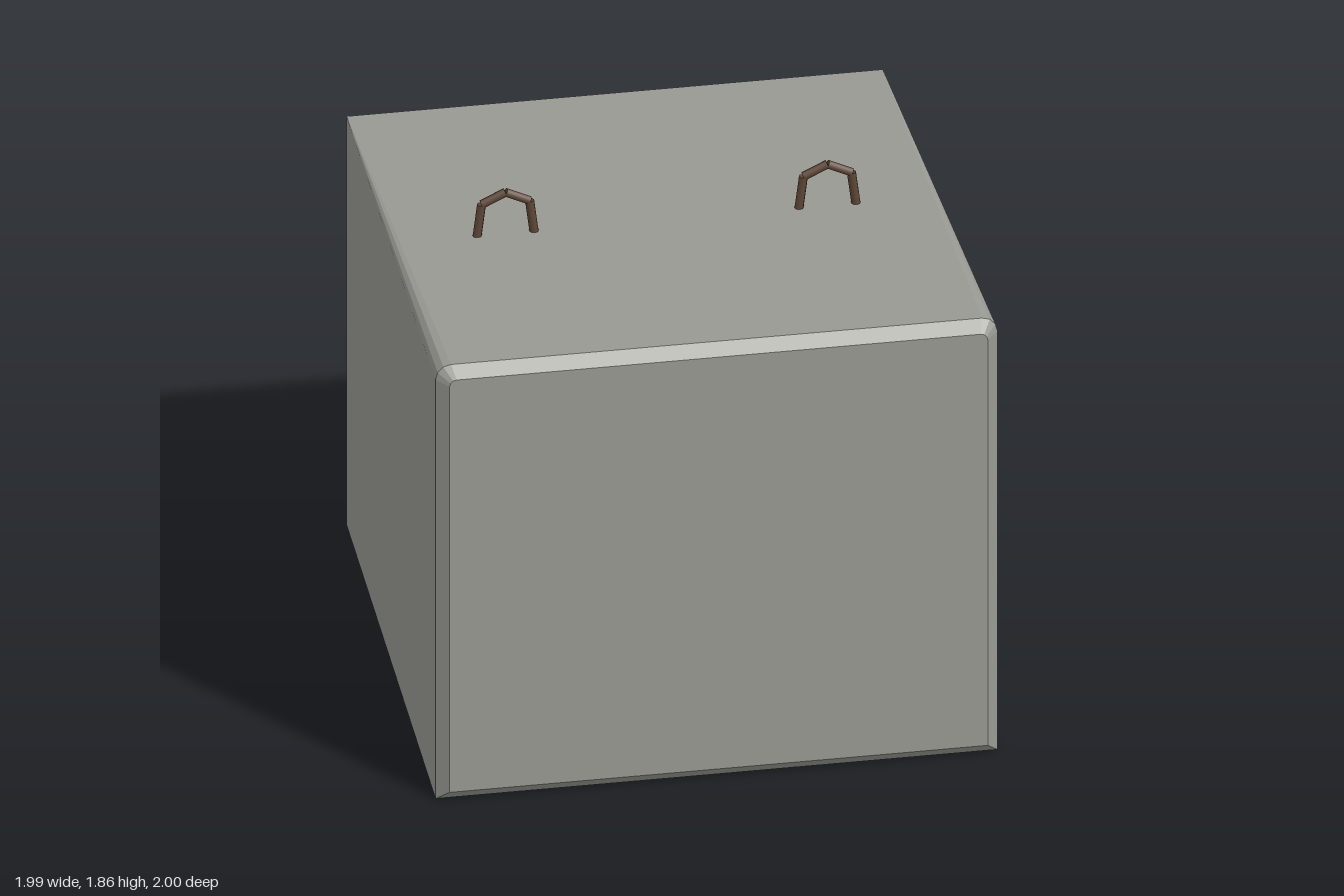
import * as THREE from 'three';

const material = (color, flatShading = false) => new THREE.MeshStandardMaterial({ color, flatShading });

// Cross-section with square bottom corners and rounded top corners, anticlockwise from the front
function section(halfWidth, bottom, top, radius, z) {
  const ring = [[-halfWidth, bottom, z], [halfWidth, bottom, z]];
  for (const [side, start] of [[1, 0], [-1, Math.PI / 2]]) {
    for (let i = 0; i <= 3; i++) {
      const a = start + (i / 3) * Math.PI / 2;
      ring.push([side * (halfWidth - radius) + radius * Math.cos(a), top - radius + radius * Math.sin(a), z]);
    }
  }
  return ring;
}

// Skin consecutive cross-sections and cap both ends
function loft(rings) {
  const positions = [];
  const tri = (a, b, c) => positions.push(...a, ...b, ...c);
  const n = rings[0].length;
  for (let r = 0; r < rings.length - 1; r++) {
    const front = rings[r], back = rings[r + 1];
    for (let i = 0; i < n; i++) {
      const j = (i + 1) % n;
      tri(front[i], back[i], back[j]);
      tri(front[i], back[j], front[j]);
    }
  }
  const first = rings[0], last = rings[rings.length - 1];
  for (let i = 1; i < n - 1; i++) {
    tri(first[0], first[i], first[i + 1]);
    tri(last[0], last[i + 1], last[i]);
  }
  const geometry = new THREE.BufferGeometry();
  geometry.setAttribute('position', new THREE.Float32BufferAttribute(positions, 3));
  geometry.computeVertexNormals();
  return geometry;
}

// Lifting loop made of four straight bars
function createLoop(name, x, mat) {
  const loop = new THREE.Group();
  loop.name = name;
  const points = [[-0.103, 1.67], [-0.085, 1.81], [0, 1.85], [0.085, 1.81], [0.103, 1.67]]
    .map(([px, py]) => new THREE.Vector3(px, py, 0));
  for (let i = 0; i < points.length - 1; i++) {
    const direction = points[i + 1].clone().sub(points[i]);
    const bar = new THREE.Mesh(new THREE.CylinderGeometry(0.016, 0.016, direction.length(), 8), mat);
    bar.name = 'loopBar';
    bar.position.copy(points[i]).addScaledVector(direction, 0.5);
    bar.quaternion.setFromUnitVectors(new THREE.Vector3(0, 1, 0), direction.normalize());
    loop.add(bar);
  }
  loop.position.x = x;
  return loop;
}

export function createModel() {
  const model = new THREE.Group();
  model.name = 'concreteBlock';

  // Block with a bevelled front, tapering to the back
  const block = new THREE.Mesh(loft([
    section(0.953, 0.043, 1.67, 0.025, 1),
    section(0.995, 0, 1.71, 0.055, 0.957),
    section(0.95, 0.05, 1.665, 0.002, -0.99),
  ]), material(0x9a9a94, true));
  block.name = 'block';
  model.add(block);

  // Rusty lifting loops
  const rust = material(0x5e4737);
  model.add(createLoop('leftLiftingLoop', 0.57, rust), createLoop('rightLiftingLoop', -0.57, rust));

  // Plates on the back
  const plateMaterial = material(0xaaa391);
  for (const [name, x0, x1, y0, y1] of [
    ['largePlate', 0.13, 0.58, 0.99, 1.16],
    ['smallPlate', 0.3, 0.56, 0.775, 0.885],
  ]) {
    const plate = new THREE.Mesh(new THREE.BoxGeometry(x1 - x0, y1 - y0, 0.02), plateMaterial);
    plate.name = name;
    plate.position.set((x0 + x1) / 2, (y0 + y1) / 2, -0.988);
    model.add(plate);
  }
  return model;
}
